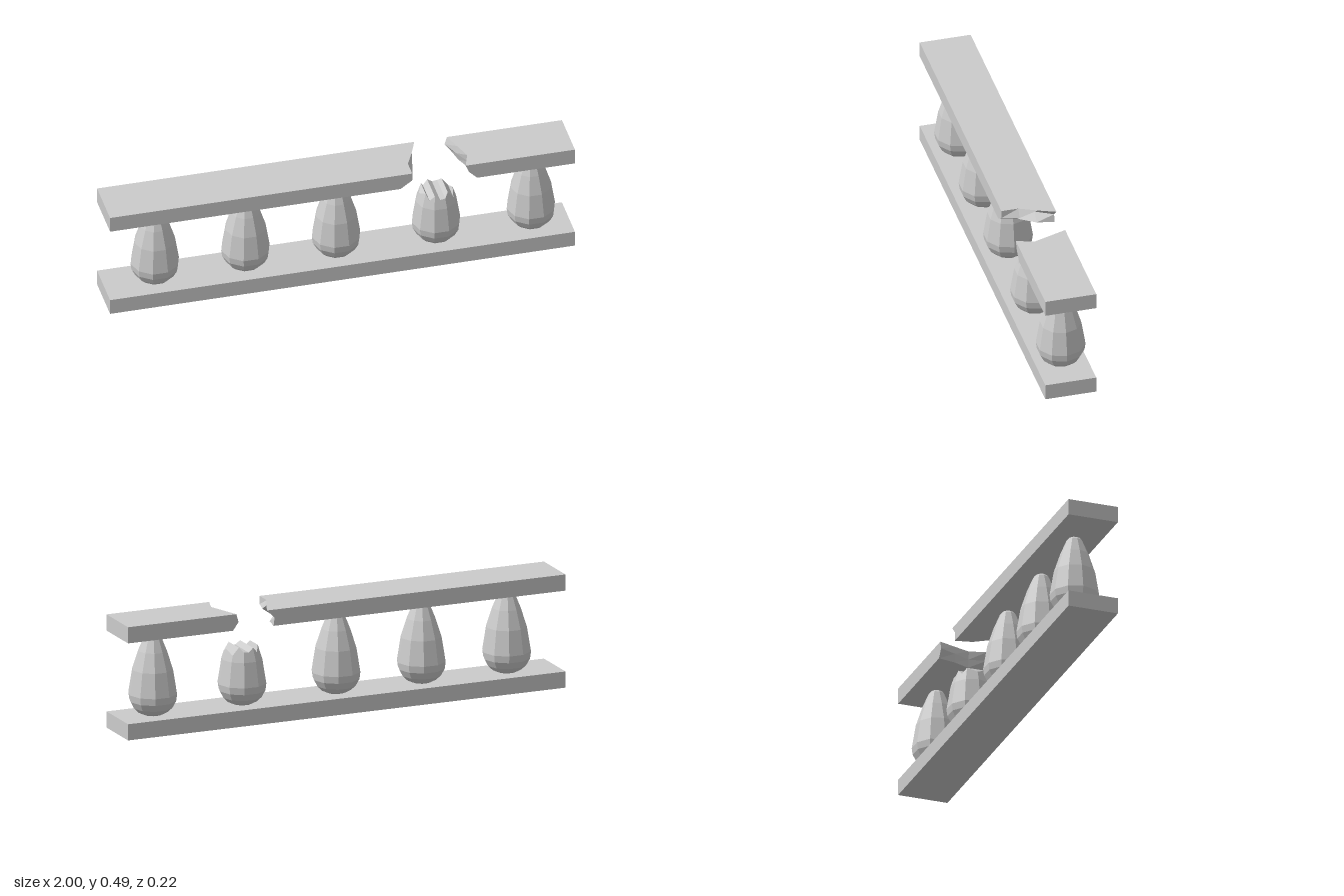
import * as THREE from 'three';

const material = new THREE.MeshStandardMaterial({ color: 0xcccccc, flatShading: true });
const SIDES = 10;
const DEPTH = 0.22, THICK = 0.07, RAIL_Y = 0.455;

// Baluster profile: [radius, height]
const lower = [[0, 0.07], [0.042, 0.07], [0.063, 0.08], [0.084, 0.1], [0.1, 0.13], [0.104, 0.16], [0.087, 0.265]];
const upper = [[0.061, 0.345], [0.034, 0.41], [0.024, 0.42], [0, 0.42]];

function addMesh(parent, name, geometry) {
  const mesh = new THREE.Mesh(geometry, material);
  mesh.name = name;
  parent.add(mesh);
  return mesh;
}

function turned(profile) {
  const points = profile.map(([r, y]) => new THREE.Vector2(r, y));
  return new THREE.LatheGeometry(points, SIDES, Math.PI / 2);
}

// Snapped-off upper part of a baluster: ridges run along z between front and back rims
function brokenCrown() {
  const heights = [0.305, 0.325, 0.3, 0.322, 0.305, 0.308, 0.326, 0.292, 0.312];
  const n = heights.length;
  const radiusAt = (y) => 0.087 - (y - 0.265) * 0.325;
  const positions = [];
  const point = (i, y, side) => {
    // every second point is a corner of the ten-sided section, the rest lie mid-face
    const angle = Math.PI * (1 - [0, 0.2, 0.3, 0.4, 0.5, 0.6, 0.7, 0.8, 1][i]);
    const step = (2 * Math.PI) / SIDES;
    const local = (angle + 1e-6) % step - step / 2;
    const r = radiusAt(y) * Math.cos(step / 2) / Math.cos(local);
    return [r * Math.cos(angle), y, side * r * Math.sin(angle)];
  };
  const quad = (a, b, c, d) => positions.push(...a, ...b, ...c, ...a, ...c, ...d);
  for (let i = 0; i < n - 1; i++) {
    const j = i + 1;
    const f0 = point(i, heights[i], 1), f1 = point(j, heights[j], 1);
    const b0 = point(i, heights[i], -1), b1 = point(j, heights[j], -1);
    quad(point(i, 0.265, 1), point(j, 0.265, 1), f1, f0);
    quad(point(j, 0.265, -1), point(i, 0.265, -1), b0, b1);
    quad(f0, f1, b1, b0);
  }
  const geometry = new THREE.BufferGeometry();
  geometry.setAttribute('position', new THREE.Float32BufferAttribute(positions, 3));
  geometry.computeVertexNormals();
  return geometry;
}

// Rail piece with one fractured end; rows go bottom to top, entries back to front
function brokenRail(fixedX, rows) {
  const side = Math.sign(fixedX);
  const geometry = new THREE.BoxGeometry(1, THICK, DEPTH, 1, 2, 3);
  const p = geometry.attributes.position;
  for (let i = 0; i < p.count; i++) {
    const row = Math.round((p.getY(i) / THICK + 0.5) * 2);
    const column = Math.round((p.getZ(i) / DEPTH + 0.5) * 3);
    p.setX(i, p.getX(i) * side > 0 ? fixedX : rows[row][column]);
  }
  geometry.translate(0, RAIL_Y, 0);
  geometry.computeVertexNormals();
  return geometry;
}

export function createModel() {
  const model = new THREE.Group();
  model.name = 'brokenBalustrade';

  // Base rail
  addMesh(model, 'bottomRail', new THREE.BoxGeometry(2, THICK, DEPTH)).position.y = THICK / 2;

  // Top rail in two pieces with a gap
  addMesh(model, 'topRailRight', brokenRail(-1, [
    [0.335, 0.32, 0.27, 0.25],
    [0.33, 0.29, 0.32, 0.3],
    [0.365, 0.335, 0.3, 0.3],
  ]));
  addMesh(model, 'topRailLeft', brokenRail(1, [
    [0.52, 0.535, 0.565, 0.58],
    [0.495, 0.525, 0.56, 0.545],
    [0.505, 0.53, 0.555, 0.53],
  ]));

  // Whole balusters
  const whole = turned([...lower, ...upper]);
  for (const x of [-0.78, -0.39, 0, 0.838]) {
    addMesh(model, 'baluster', whole).position.x = x;
  }

  // Broken baluster under the gap
  const broken = new THREE.Group();
  broken.name = 'brokenBaluster';
  broken.position.x = 0.43;
  addMesh(broken, 'brokenBalusterBody', turned(lower));
  addMesh(broken, 'brokenBalusterCrown', brokenCrown());
  model.add(broken);

  return model;
}
